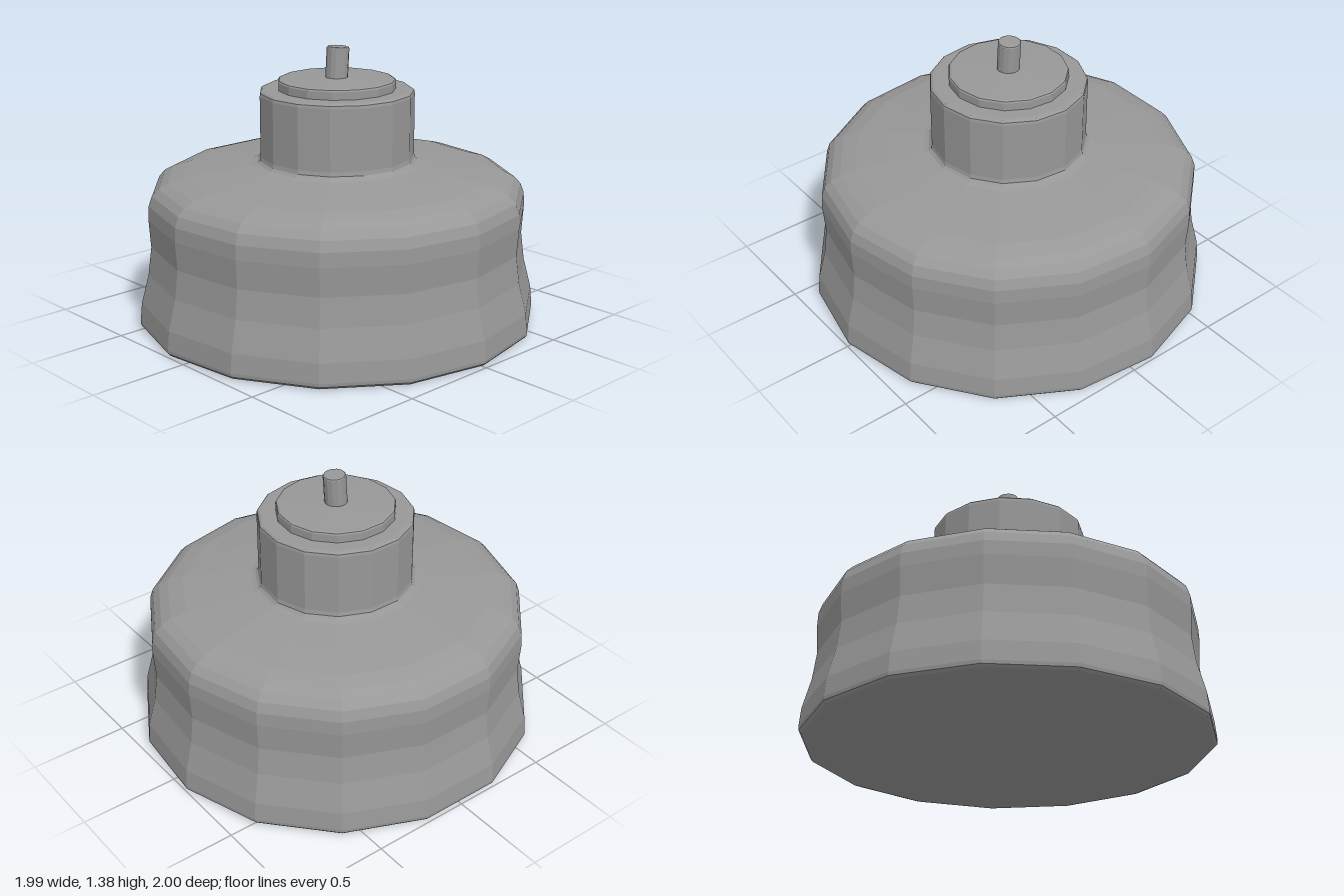
import * as THREE from 'three';

const SIDES = 15;
const material = new THREE.MeshStandardMaterial({ color: 0x989898, flatShading: true });

// Faceted solid of revolution with one corner pointing to +x
function turned(name, profile, sides = SIDES) {
  const points = profile.map(([r, y]) => new THREE.Vector2(r, y));
  const mesh = new THREE.Mesh(new THREE.LatheGeometry(points, sides, Math.PI / 2), material);
  mesh.name = name;
  return mesh;
}

export function createModel() {
  const model = new THREE.Group();
  model.name = 'knob';

  // Waisted skirt, rounded shoulder and straight neck
  const body = turned('body', [
    [0, 0], [0.972, 0], [0.992, 0.006], [1.003, 0.018], [1.005, 0.035],
    [0.996, 0.13], [0.957, 0.28], [0.939, 0.42], [0.948, 0.56],
    [0.945, 0.63], [0.927, 0.68], [0.894, 0.715], [0.848, 0.74], [0.77, 0.762],
    [0.6, 0.784], [0.425, 0.805], [0.403, 0.812], [0.39, 0.825], [0.386, 0.845],
    [0.386, 1.15], [0.383, 1.164], [0.373, 1.172], [0.355, 1.174], [0, 1.174],
  ]);

  // Thin raised disc on the neck
  const cap = turned('cap', [
    [0.293, 1.165], [0.293, 1.212], [0.289, 1.22], [0.279, 1.224], [0, 1.232],
  ]);

  // Short pin, leaning slightly backwards
  const pin = turned('pin', [
    [0, -0.02], [0.056, -0.02], [0.056, 0.152], [0.053, 0.157], [0.046, 0.16], [0, 0.16],
  ], 14);
  pin.position.set(0, 1.222, 0.001);
  pin.rotation.x = -0.065;

  model.add(body, cap, pin);
  // An odd number of sides is lopsided, so shift to centre the width
  model.position.x = -0.011;
  return model;
}
